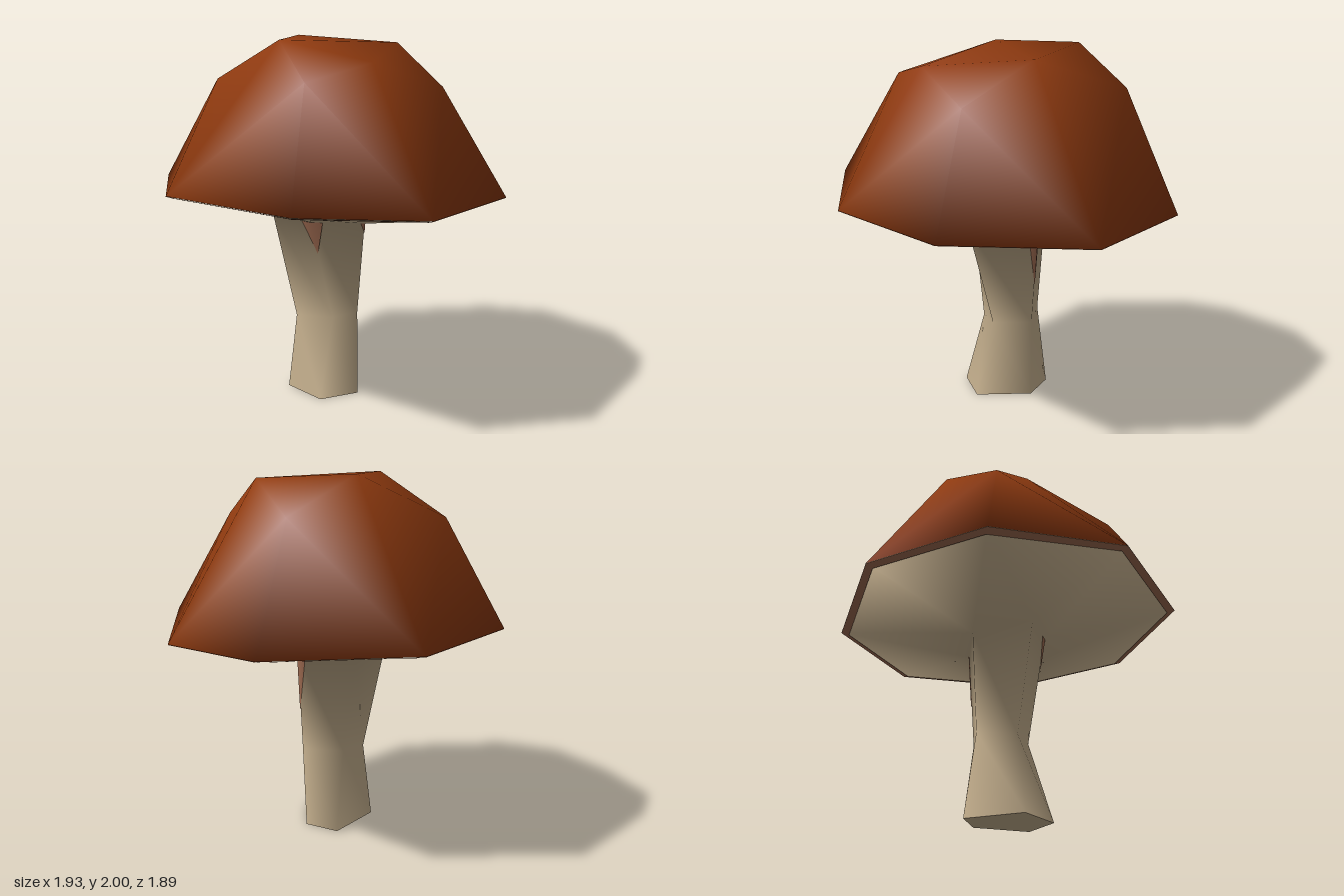
import * as THREE from 'three';

// Rings run north, east, south, west as seen from above: [x, y, z]
const RIM = [
  [0.12, 1.13, -0.95], [0.81, 1.18, -0.57], [0.96, 1.2, 0.15], [0.63, 1.25, 0.75],
  [-0.16, 1.24, 0.94], [-0.8, 1.2, 0.55], [-0.97, 1.17, -0.12], [-0.54, 1.15, -0.8],
];
const CROWN = [[0.12, 1.97, -0.41], [0.47, 1.91, 0.1], [-0.1, 2, 0.25], [-0.4, 2, -0.12]];
const SHOULDER = [[0.52, 1.76, -0.36], [0.4, 1.83, 0.48], [-0.52, 1.77, 0.37], [-0.39, 1.8, -0.53]];
const STEM_TOP = [[-0.03, 1.01, -0.25], [0.28, 1.02, -0.03], [0.1, 1.03, 0.2], [-0.12, 1.04, 0.29], [-0.26, 1.01, -0.02]];
const STEM_MID = [[-0.02, 0.46, -0.215], [0.16, 0.46, -0.09], [0.12, 0.45, 0.06], [-0.09, 0.43, 0.155], [-0.185, 0.46, -0.05]];
const STEM_FOOT = [[-0.03, 0, -0.2], [0.235, 0, -0.03], [0.165, 0, 0.19], [-0.1, 0, 0.21], [-0.21, 0, -0.11]];

const lerp = (a, b, t) => a.map((v, k) => v + (b[k] - v) * t);

function geometryFrom(points, index) {
  const g = new THREE.BufferGeometry();
  g.setAttribute('position', new THREE.Float32BufferAttribute(points.flat(), 3));
  g.setIndex(index);
  g.computeVertexNormals();
  return g;
}

export function createModel() {
  const group = new THREE.Group();
  const material = (name, color, side = THREE.FrontSide) => {
    const m = new THREE.MeshStandardMaterial({ color, side });
    m.name = name;
    return m;
  };
  const brown = material('russet brown', 0x8f3a0f);
  const cream = material('cream', 0xcbb592);
  const stain = material('dull rose brown', 0xa06c52, THREE.DoubleSide);
  const add = (name, geometry, mat) => {
    const mesh = new THREE.Mesh(geometry, mat);
    mesh.name = name;
    group.add(mesh);
  };

  // One smooth skin: cap, underside and stem share vertices and normals
  const points = [...RIM, ...CROWN, ...SHOULDER, ...STEM_TOP, ...STEM_MID, ...STEM_FOOT];
  const rim = i => i % 8;
  const crown = i => 8 + (i % 4);
  const shoulder = i => 12 + i;
  const stem = (row, i) => 16 + row * 5 + (i % 5);

  // Cap: four fans around the shoulder points, then the flat crown
  const cap = [];
  for (let k = 0; k < 4; k++) {
    const loop = [rim(2 * k), crown(k), crown(k + 1), rim(2 * k + 2), rim(2 * k + 1)];
    loop.forEach((v, j) => cap.push(v, loop[(j + 1) % 5], shoulder(k)));
  }
  cap.push(crown(0), crown(3), crown(2), crown(0), crown(2), crown(1));

  // Underside: strip joining the eight-sided rim to the five-sided stem
  const under = [];
  const nearest = [0, 1, 1, 2, 3, 4, 4, 5, 5];
  for (let i = 0; i < 8; i++) {
    const s = nearest[i];
    under.push(rim(i), rim(i + 1), stem(0, s));
    if (nearest[i + 1] > s) under.push(stem(0, s), rim(i + 1), stem(0, s + 1));
  }

  // Stem walls
  const walls = [];
  for (let row = 0; row < 2; row++) {
    for (let i = 0; i < 5; i++) {
      const a = stem(row + 1, i), b = stem(row, i), c = stem(row, i + 1), d = stem(row + 1, i + 1);
      walls.push(a, b, c, a, c, d);
    }
  }

  const skin = geometryFrom(points, [...cap, ...under, ...walls]);
  const part = index => {
    const g = new THREE.BufferGeometry();
    g.setAttribute('position', skin.attributes.position);
    g.setAttribute('normal', skin.attributes.normal);
    g.setIndex(index);
    return g;
  };
  add('cap', part(cap), brown);
  add('capUnderside', part(under), cream);
  add('stem', part(walls), cream);
  add('stemBase', geometryFrom(STEM_FOOT, [0, 1, 2, 0, 2, 3, 0, 3, 4]), cream);

  // Thin discoloured band under the rim
  const band = [], bandIndex = [];
  RIM.forEach((p, i) => {
    const inner = lerp(p, STEM_TOP[nearest[i] % 5], 0.06);
    band.push([p[0], p[1] - 0.002, p[2]], [inner[0], inner[1] - 0.005, inner[2]]);
    const a = 2 * i, b = (2 * i + 2) % 16;
    bandIndex.push(a, b, a + 1, a + 1, b, b + 1);
  });
  add('rimBand', geometryFrom(band, bandIndex), stain);

  // Stains running down the stem edges from the cap
  const addStain = (i, width, length) => {
    const top = STEM_TOP[i];
    const corners = [
      top,
      lerp(top, STEM_TOP[(i + 4) % 5], width),
      lerp(top, STEM_MID[i], length),
      lerp(top, STEM_TOP[(i + 1) % 5], width),
    ].map(([x, y, z]) => {
      const r = Math.hypot(x, z);
      return [x + (x / r) * 0.005, y, z + (z / r) * 0.005];
    });
    add('stemStain', geometryFrom(corners, [0, 1, 2, 0, 2, 3]), stain);
  };
  addStain(0, 0.14, 0.58);
  addStain(1, 0.08, 0.1);
  addStain(2, 0.22, 0.32);

  return group;
}
